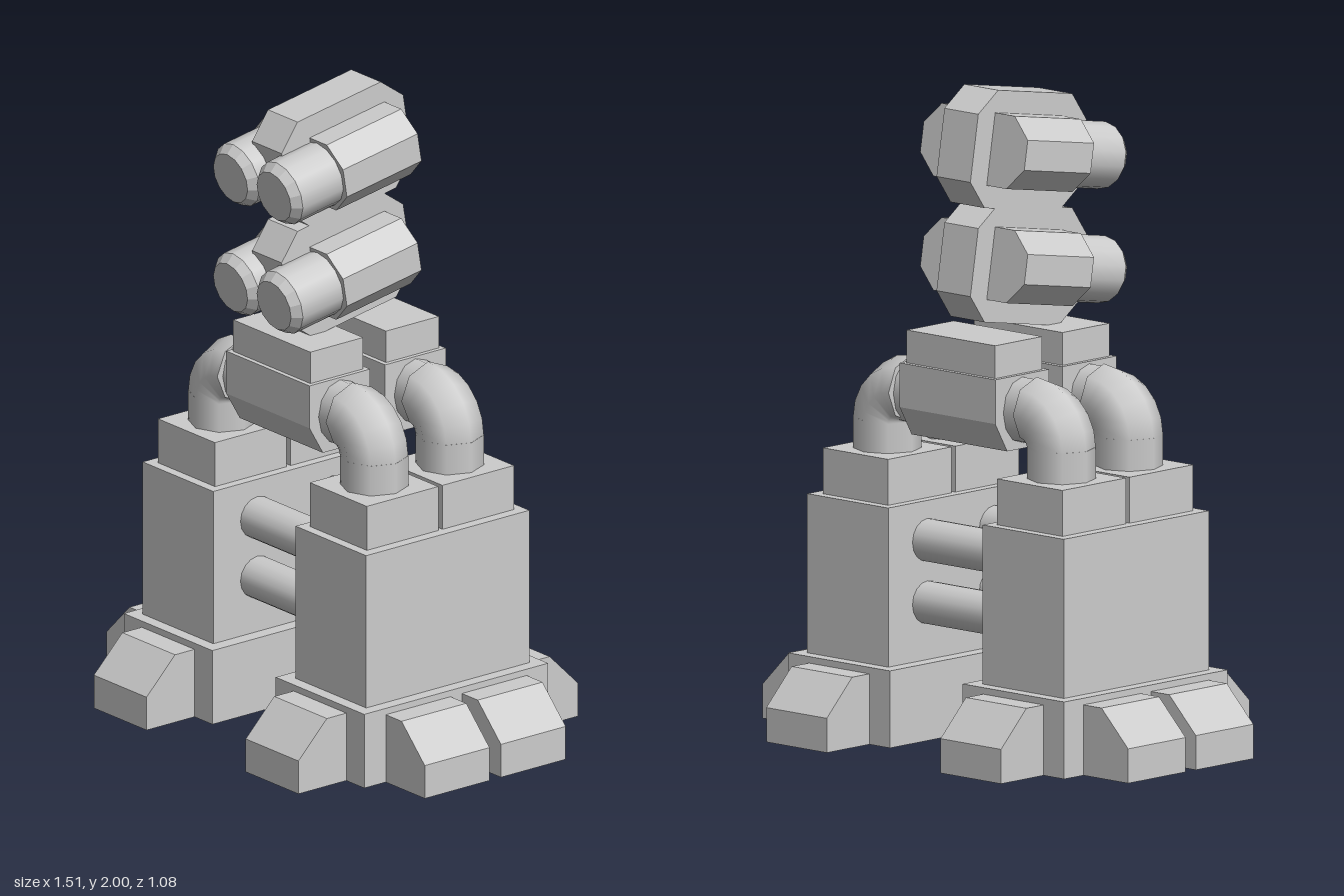
import * as THREE from 'three';

const flat = new THREE.MeshStandardMaterial({ color: 0xcccccc, flatShading: true });
const smooth = new THREE.MeshStandardMaterial({ color: 0xcccccc });

function add(parent, name, geometry, x = 0, y = 0, z = 0, material = flat) {
  const mesh = new THREE.Mesh(geometry, material);
  mesh.name = name;
  mesh.position.set(x, y, z);
  parent.add(mesh);
  return mesh;
}

function group(parent, name) {
  const g = new THREE.Group();
  g.name = name;
  parent.add(g);
  return g;
}

// Box given by its limits on each axis
function block(parent, name, x0, x1, y0, y1, z0, z1) {
  return add(parent, name, new THREE.BoxGeometry(x1 - x0, y1 - y0, z1 - z0),
    (x0 + x1) / 2, (y0 + y1) / 2, (z0 + z1) / 2);
}

// Side profile of [z, y] points, extruded across x and centred on x = 0
function prism(points, width) {
  const shape = new THREE.Shape(points.map(([z, y]) => new THREE.Vector2(z, y)));
  return new THREE.ExtrudeGeometry(shape, { depth: width, bevelEnabled: false })
    .rotateY(-Math.PI / 2).translate(width / 2, 0, 0);
}

// Foot, tower and pipes of one side, built on +x
function buildLeg(parent, name) {
  const leg = group(parent, name);
  block(leg, 'footSlab', 0.15, 0.57, 0, 0.235, -0.355, 0.355);
  block(leg, 'tower', 0.195, 0.53, 0.235, 0.72, -0.315, 0.315);

  // Sloped toes: one at each end, two on the outer side
  const toe = (reach) => prism([
    [reach - 0.25, 0], [reach, 0], [reach, 0.105], [reach - 0.11, 0.215], [reach - 0.25, 0.215],
  ], 0.25);
  add(leg, 'frontToe', toe(0.54), 0.36);
  add(leg, 'backToe', toe(0.54), 0.36).rotation.y = Math.PI;
  for (const s of [-1, 1]) {
    add(leg, 'sideToe', toe(0.755), 0, 0, s * 0.147).rotation.y = Math.PI / 2;

    // Tower cap with the pipe that bends inwards to the body
    const z = s * 0.146;
    block(leg, 'towerCap', 0.225, 0.495, 0.72, 0.86, z - 0.138, z + 0.138);
    add(leg, 'pipe', new THREE.CylinderGeometry(0.103, 0.103, 0.1, 8), 0.36, 0.905, z, smooth);
    add(leg, 'pipeElbow', new THREE.TorusGeometry(0.103, 0.103, 8, 5, Math.PI / 2),
      0.257, 0.95, z, smooth);
    add(leg, 'pipeCollar', new THREE.CircleGeometry(0.103, 8).rotateY(-Math.PI / 2), 0.257, 1.053, z);
    add(leg, 'pipeNeck', new THREE.CylinderGeometry(0.1, 0.1, 0.1, 12)
      .rotateZ(Math.PI / 2).scale(1, 1, 0.82), 0.225, 1.048, z, smooth);
  }
  return leg;
}

// Tilted twin gun on an octagonal centre plate
function buildTwinGun(parent, name, y) {
  const gun = group(parent, name);
  gun.position.set(0, y, 0.015);
  gun.rotation.x = 0.168;

  const l = 0.238, h = 0.178, c = 0.075;
  add(gun, 'centrePlate', prism([
    [l - c, -h], [l, c - h], [l, h - c], [l - c, h],
    [c - l, h], [-l, h - c], [-l, c - h], [c - l, -h],
  ], 0.14));

  for (const s of [-1, 1]) {
    const x = s * 0.105;
    const r = 0.11 / Math.cos(Math.PI / 8);
    add(gun, 'gunHousing', new THREE.CylinderGeometry(r, r, 0.292, 8)
      .rotateY(Math.PI / 8).rotateX(Math.PI / 2), x, 0, -0.019);
    add(gun, 'barrel', new THREE.CylinderGeometry(0.102, 0.102, 0.17, 14, 1, true)
      .rotateX(Math.PI / 2), s * 0.103, 0, 0.2, smooth);
    add(gun, 'barrelTip', new THREE.CylinderGeometry(0.08, 0.102, 0.028, 14)
      .rotateX(Math.PI / 2), s * 0.103, 0, 0.299);
  }
}

export function createModel() {
  const model = new THREE.Group();
  model.name = 'gunTurret';

  buildLeg(model, 'leftLeg');
  buildLeg(model, 'rightLeg').rotation.y = Math.PI;

  for (const s of [-1, 1]) {
    // Cross bars between the towers
    for (const y of [0.41, 0.6]) {
      add(model, 'crossBar', new THREE.CylinderGeometry(0.065, 0.065, 0.42, 16)
        .rotateZ(Math.PI / 2), 0, y, s * 0.145, smooth);
    }
    // Body block with chamfered underside, and the plate on top
    add(model, 'bodyBlock', prism([
      [-0.065, 0.93], [0.065, 0.93], [0.117, 1.02], [0.117, 1.155], [-0.117, 1.155], [-0.117, 1.02],
    ], 0.395), 0, 0, s * 0.146);
    block(model, 'topPlate', -0.183, 0.183, 1.155, 1.255, s * 0.146 - 0.102, s * 0.146 + 0.102);
  }

  buildTwinGun(model, 'lowerTwinGun', 1.45);
  buildTwinGun(model, 'upperTwinGun', 1.798);
  return model;
}
